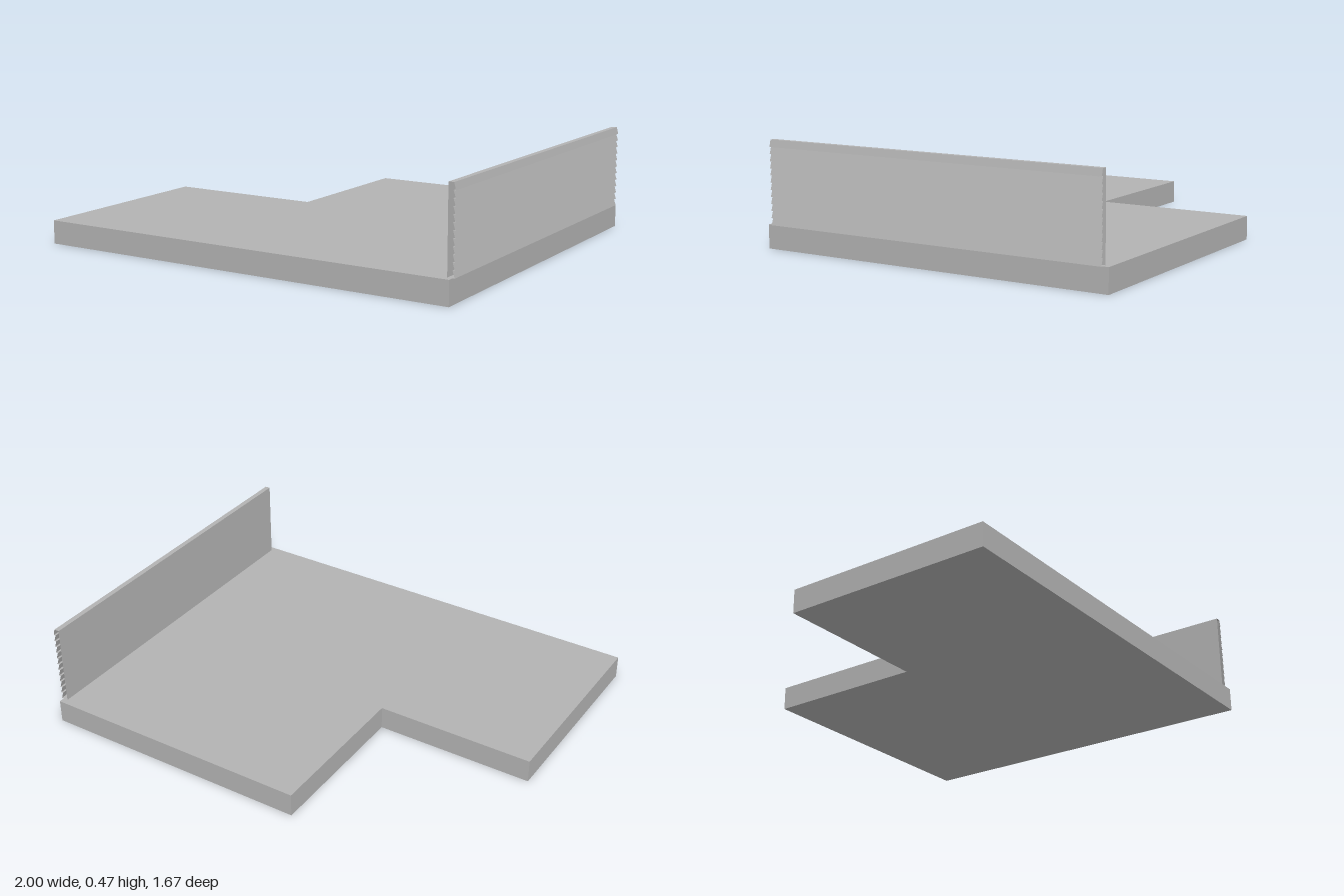
import * as THREE from 'three';

const BASE_TOP = 0.106, WALL_TOP = 0.475, HALF_WALL = 0.811;

// Sweeps an [x, y] profile along z into a sheet with open ends and flat facets.
function sweepProfile(profile, halfLength) {
  const positions = [];
  for (let i = 0; i < profile.length - 1; i++) {
    const [ax, ay] = profile[i], [bx, by] = profile[i + 1];
    const a = [ax, ay, halfLength], b = [bx, by, halfLength];
    const c = [bx, by, -halfLength], d = [ax, ay, -halfLength];
    positions.push(...a, ...c, ...b, ...a, ...d, ...c);
  }
  const geometry = new THREE.BufferGeometry();
  geometry.setAttribute('position', new THREE.Float32BufferAttribute(positions, 3));
  geometry.computeVertexNormals();
  return geometry;
}

export function createModel() {
  const model = new THREE.Group();
  model.name = 'slabWithSidedWall';
  const gray = new THREE.MeshStandardMaterial({ color: 0xb3b3b3, side: THREE.DoubleSide });
  gray.name = 'light gray';

  // L-shaped floor slab, outlined in plan with y = -z
  const outline = new THREE.Shape([
    [-1, -0.837], [0.99, -0.837], [0.99, 0.837],
    [-0.267, 0.837], [-0.267, 0.107], [-1, 0.107],
  ].map(([x, y]) => new THREE.Vector2(x, y)));
  const slabGeometry = new THREE.ExtrudeGeometry(outline, { depth: BASE_TOP, bevelEnabled: false });
  slabGeometry.rotateX(-Math.PI / 2);
  const slab = new THREE.Mesh(slabGeometry, gray);
  slab.name = 'floorSlab';
  model.add(slab);

  // Wall with a smooth inner face, a top strip and overlapping boards outside
  const boards = 12;
  const step = (WALL_TOP - BASE_TOP) / boards;
  const profile = [[0.968, BASE_TOP], [0.968, WALL_TOP], [0.992, WALL_TOP]];
  for (let i = 0; i < boards; i++) {
    const bottom = WALL_TOP - (i + 1) * step;
    profile.push([1, bottom], [0.99, bottom]);
  }
  const wall = new THREE.Mesh(sweepProfile(profile, HALF_WALL), gray);
  wall.name = 'sidedWall';
  model.add(wall);

  return model;
}
